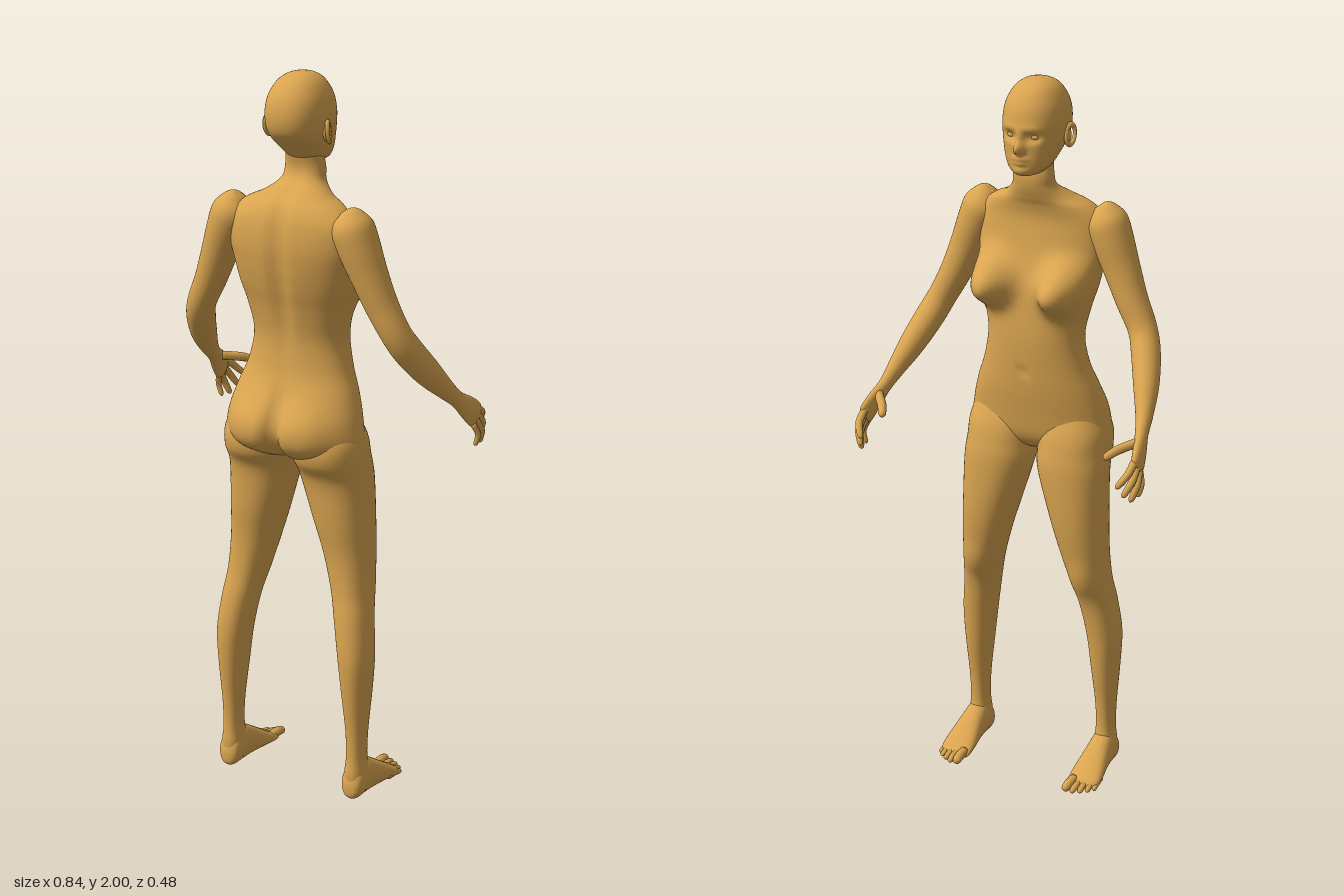
import * as THREE from 'three';

const skin = new THREE.MeshStandardMaterial({ color: 0xd9a44f });
skin.name = 'skin';

// Catmull-Rom resampling of rows of numbers
function resample(rows, sub) {
  const out = [];
  const at = i => rows[Math.max(0, Math.min(rows.length - 1, i))];
  for (let i = 0; i < rows.length - 1; i++) {
    for (let s = 0; s < sub; s++) {
      const t = s / sub;
      out.push(rows[i].map((b, k) => {
        const a = at(i - 1)[k], c = at(i + 1)[k], d = at(i + 2)[k];
        return b + 0.5 * t * (c - a + t * (2 * a - 5 * b + 4 * c - d + t * (3 * (b - c) + d - a)));
      }));
    }
  }
  out.push(rows[rows.length - 1]);
  return out;
}

// Skin a list of closed rings, with a cap at both ends
function loft(rings) {
  const n = rings[0].length, pos = [], idx = [];
  rings.forEach(r => r.forEach(p => pos.push(p.x, p.y, p.z)));
  for (let i = 0; i < rings.length - 1; i++) {
    for (let j = 0; j < n; j++) {
      const a = i * n + j, b = i * n + (j + 1) % n;
      idx.push(a, b, a + n, b, b + n, a + n);
    }
  }
  [0, rings.length - 1].forEach((ri, end) => {
    const c = new THREE.Vector3();
    rings[ri].forEach(p => c.addScaledVector(p, 1 / n));
    pos.push(c.x, c.y, c.z);
    const ci = pos.length / 3 - 1;
    for (let j = 0; j < n; j++) {
      const a = ri * n + j, b = ri * n + (j + 1) % n;
      if (end) idx.push(ci, a, b);
      else idx.push(ci, b, a);
    }
  });
  const g = new THREE.BufferGeometry();
  g.setAttribute('position', new THREE.Float32BufferAttribute(pos, 3));
  g.setIndex(idx);
  g.computeVertexNormals();
  return g;
}

// Horizontal sections, top to bottom: [y, centre x, half width, front z, back z]
// Bumps push the front (side -1) or back (side 1): [x, y, rx, ry, push, side]
function stack(rows, n, sub, bumps = [], power = 0.9) {
  const bend = v => Math.sign(v) * Math.abs(v) ** power;
  return loft(resample(rows, sub).map(([y, cx, hw, zf, zb]) => {
    const ring = [];
    for (let j = 0; j < n; j++) {
      const a = j / n * Math.PI * 2;
      const p = new THREE.Vector3(cx + hw * bend(Math.cos(a)), y, (zf + zb) / 2 + (zb - zf) / 2 * bend(Math.sin(a)));
      let dz = 0;
      for (const [bx, by, rx, ry, push, side] of bumps) {
        const d = Math.hypot((p.x - bx) / rx, (y - by) / ry);
        const facing = THREE.MathUtils.smoothstep(side * Math.sin(a), 0, 0.5);
        dz += side * push * facing * Math.exp(-(d ** 2.6));
      }
      p.z += dz;
      ring.push(p);
    }
    return ring;
  }));
}

// Limb along a path: [x, y, z, radius up/forward, radius sideways]
function limb(rows, n, sub) {
  const pts = resample(rows, sub), X = new THREE.Vector3(1, 0, 0);
  const P = pts.map(r => new THREE.Vector3(r[0], r[1], r[2]));
  return loft(P.map((p, i) => {
    const T = P[Math.min(i + 1, P.length - 1)].clone().sub(P[Math.max(i - 1, 0)]).normalize();
    const U = X.clone().cross(T).normalize(), V = T.clone().cross(U);
    return Array.from({ length: n }, (_, j) => {
      const a = j / n * Math.PI * 2;
      return p.clone().addScaledVector(U, pts[i][3] * Math.cos(a)).addScaledVector(V, pts[i][4] * Math.sin(a));
    });
  }));
}

// Finger or toe with a raised middle joint and a rounded tip
function digit(a, b, r, lift = [0, 0, 0]) {
  const row = (t, k) => [...a.map((v, i) => v + (b[i] - v) * t + lift[i] * Math.sin(t * Math.PI)), r * k, r * k];
  return limb([row(0, 1), row(0.5, 1), row(0.85, 0.88), row(0.96, 0.6), row(1, 0.15)], 12, 3);
}

function mirrored(g) {
  const m = g.clone().scale(-1, 1, 1), ix = m.index.array;
  for (let i = 0; i < ix.length; i += 3) [ix[i], ix[i + 1]] = [ix[i + 1], ix[i]];
  m.computeVertexNormals();
  return m;
}

export function createModel() {
  const model = new THREE.Group();
  model.name = 'figure';
  const add = (name, g) => {
    const m = new THREE.Mesh(g, skin);
    m.name = name;
    model.add(m);
  };
  const pair = (name, g) => {
    add(name + 'A', g);
    add(name + 'B', mirrored(g));
  };
  const both = (x, ...rest) => [[x, ...rest], [-x, ...rest]];

  // Neck, chest, waist and pelvis
  add('torso', stack([
    [1.80, 0, 0.05, 0.02, 0.10], [1.75, 0, 0.056, 0.012, 0.09], [1.715, 0, 0.062, 0.015, 0.105],
    [1.685, 0, 0.095, 0.025, 0.15], [1.66, 0, 0.145, 0.035, 0.175], [1.62, 0, 0.182, 0.04, 0.192],
    [1.56, 0, 0.186, 0.03, 0.2], [1.50, 0, 0.176, 0.015, 0.196], [1.44, 0, 0.166, 0, 0.185],
    [1.38, 0, 0.15, -0.01, 0.17], [1.30, 0, 0.136, -0.017, 0.158], [1.22, 0, 0.15, -0.015, 0.165],
    [1.15, 0, 0.176, -0.01, 0.185], [1.08, 0, 0.196, 0, 0.202], [1.02, 0, 0.2, 0.01, 0.198],
    [0.985, 0, 0.15, 0.03, 0.17], [0.965, 0, 0.06, 0.06, 0.13]
  ], 80, 6, [
    ...both(0.108, 1.45, 0.062, 0.062, 0.098, -1),
    ...both(0.08, 1.055, 0.085, 0.085, 0.042, 1),
    [0, 1.04, 0.02, 0.1, 0.035, 1].map((v, i) => i === 4 ? -v : v),
    [0, 1.5, 0.025, 0.2, -0.012, 1],
    [0, 1.21, 0.012, 0.012, -0.008, -1]
  ]));

  // Head with brow, nose, lips and chin
  add('head', stack([
    [2.0, 0, 0.008, 0.06, 0.08], [1.993, 0, 0.035, 0.03, 0.115], [1.975, 0, 0.058, 0.003, 0.145],
    [1.94, 0, 0.077, -0.02, 0.17], [1.90, 0, 0.084, -0.031, 0.18], [1.86, 0, 0.082, -0.033, 0.175],
    [1.83, 0, 0.076, -0.033, 0.155], [1.80, 0, 0.066, -0.033, 0.12], [1.775, 0, 0.052, -0.031, 0.09],
    [1.76, 0, 0.032, -0.024, 0.06], [1.757, 0, 0.01, -0.01, 0.03]
  ], 96, 6, [
    [0, 1.833, 0.014, 0.016, 0.023, -1], [0, 1.855, 0.01, 0.025, 0.01, -1],
    ...both(0.032, 1.863, 0.02, 0.013, -0.012, -1), ...both(0.03, 1.886, 0.025, 0.01, 0.004, -1),
    [0, 1.806, 0.022, 0.006, 0.008, -1], [0, 1.794, 0.018, 0.006, 0.007, -1],
    [0, 1.772, 0.02, 0.012, 0.006, -1]
  ]));
  const eye = new THREE.SphereGeometry(0.012, 20, 14).scale(1.15, 0.75, 1).translate(0.032, 1.863, -0.007);
  pair('eye', eye);

  // Ears: a rim around a shallow shell
  pair('earRim', new THREE.TorusGeometry(0.02, 0.006, 10, 24).scale(0.8, 1.3, 1)
    .rotateY(Math.PI / 2 + 0.4).rotateX(0.2).translate(0.089, 1.853, 0.085));
  pair('earShell', new THREE.SphereGeometry(0.02, 16, 12).scale(0.4, 1.25, 0.8).translate(0.083, 1.85, 0.082));

  // Shoulder, arm and palm in one sweep
  pair('arm', limb([
    [0.16, 1.662, 0.12, 0.015, 0.015], [0.168, 1.65, 0.12, 0.04, 0.038], [0.18, 1.62, 0.12, 0.06, 0.056],
    [0.2, 1.57, 0.118, 0.06, 0.055], [0.228, 1.5, 0.114, 0.052, 0.049], [0.262, 1.42, 0.106, 0.046, 0.043],
    [0.3, 1.345, 0.095, 0.042, 0.039], [0.324, 1.29, 0.064, 0.042, 0.039], [0.35, 1.225, 0.01, 0.038, 0.034],
    [0.372, 1.165, -0.05, 0.027, 0.023], [0.383, 1.13, -0.09, 0.023, 0.017], [0.394, 1.1, -0.125, 0.032, 0.016],
    [0.402, 1.072, -0.157, 0.036, 0.014], [0.403, 1.062, -0.17, 0.026, 0.009]
  ], 40, 5));

  // Fingers spread from the knuckles, then the thumb
  [
    [[0.4, 1.09, -0.165], [0.376, 1.03, -0.235]],
    [[0.404, 1.076, -0.16], [0.387, 1.0, -0.218]],
    [[0.405, 1.06, -0.152], [0.398, 0.98, -0.193]],
    [[0.404, 1.048, -0.142], [0.404, 0.982, -0.158]]
  ].forEach(([a, b], i) => pair('finger' + (i + 1), digit(a, b, i === 3 ? 0.008 : 0.01, [0.01, 0.004, -0.006])));
  pair('thumb', digit([0.386, 1.118, -0.118], [0.328, 1.092, -0.204], 0.0125, [-0.007, 0.002, -0.004]));

  // Thigh, knee, calf and ankle
  pair('leg', stack([
    [1.12, 0.1, 0.065, 0.04, 0.15], [1.04, 0.104, 0.097, 0.002, 0.2], [0.98, 0.107, 0.1, -0.013, 0.202],
    [0.92, 0.112, 0.098, -0.02, 0.168], [0.8, 0.131, 0.081, -0.02, 0.155], [0.7, 0.148, 0.067, -0.01, 0.143],
    [0.6, 0.165, 0.055, 0.01, 0.146], [0.52, 0.18, 0.05, 0.035, 0.16], [0.42, 0.194, 0.046, 0.05, 0.17],
    [0.32, 0.198, 0.038, 0.06, 0.165], [0.2, 0.2, 0.028, 0.077, 0.152], [0.12, 0.2, 0.026, 0.08, 0.15],
    [0.07, 0.2, 0.031, 0.07, 0.155], [0.02, 0.2, 0.028, 0.07, 0.15]
  ], 48, 5, [[0.165, 0.61, 0.035, 0.045, 0.008, -1]]));

  // Foot: sections run from the ball to the heel, then tip forward
  pair('foot', stack([
    [0.066, 0.192, 0.024, 0.008, 0.018], [0.055, 0.197, 0.039, 0.003, 0.025], [0.035, 0.202, 0.046, 0, 0.036],
    [0, 0.202, 0.045, 0, 0.058], [-0.06, 0.201, 0.037, 0, 0.095], [-0.1, 0.2, 0.034, 0, 0.11],
    [-0.14, 0.2, 0.031, 0.001, 0.09], [-0.154, 0.2, 0.02, 0.008, 0.06], [-0.158, 0.2, 0.008, 0.02, 0.04]
  ], 40, 4).rotateX(-Math.PI / 2));

  // Toes
  [
    [0.175, 0.172, -0.102, 0.0135], [0.195, 0.193, -0.1, 0.0095], [0.211, 0.212, -0.09, 0.009],
    [0.225, 0.23, -0.077, 0.0085], [0.237, 0.243, -0.06, 0.008]
  ].forEach(([x0, x1, z, r], i) => pair('toe' + (i + 1),
    digit([x0, r + 0.006, z + 0.06], [x1, r, z], r, [0, 0.003, 0])));

  return model;
}
